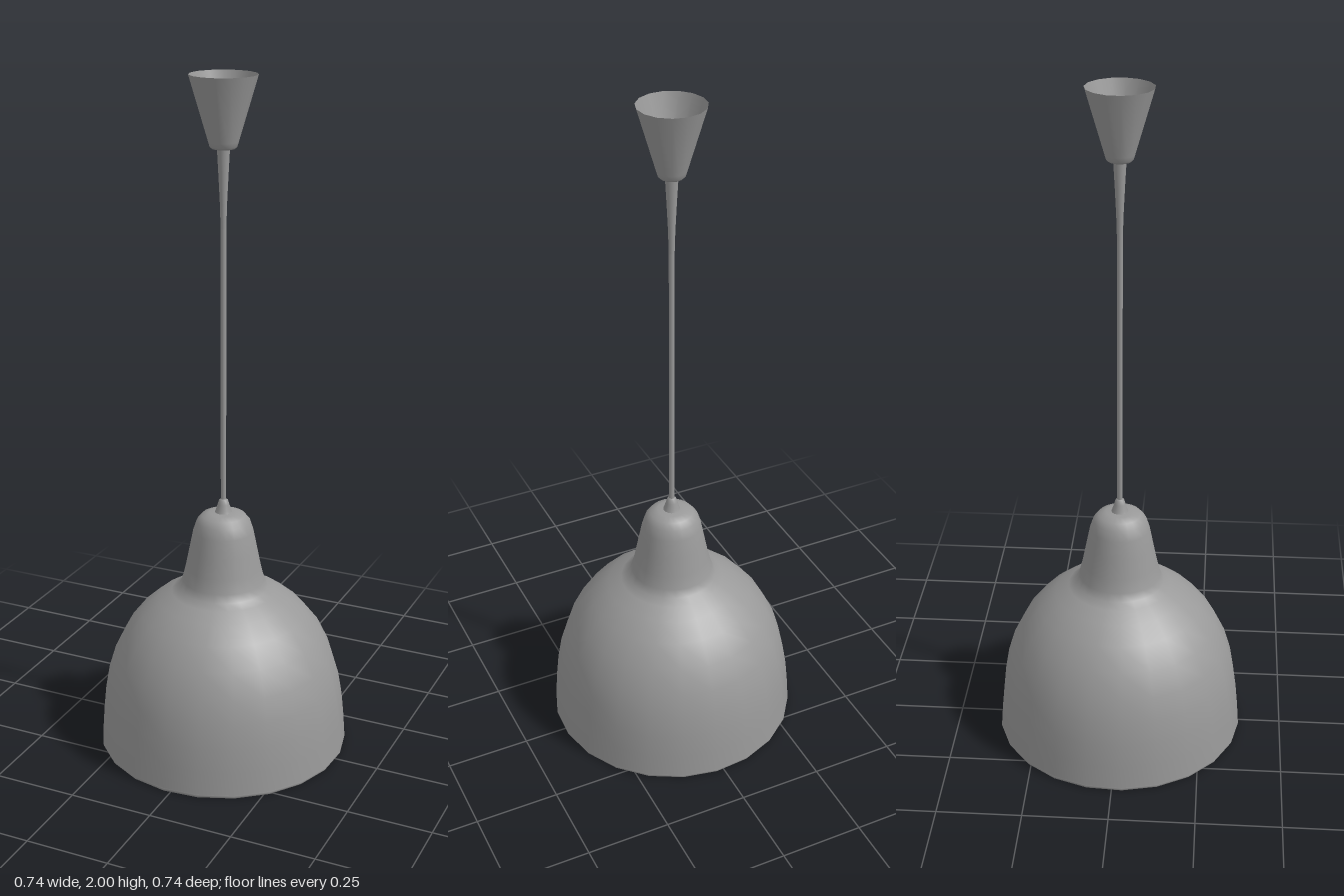
import * as THREE from 'three';

const material = new THREE.MeshStandardMaterial({ color: 0x999999, side: THREE.DoubleSide });

// Turned part from [radius, height] pairs
function turned(name, profile, sides, phase = 0) {
  const points = profile.map(([r, y]) => new THREE.Vector2(r, y));
  const mesh = new THREE.Mesh(new THREE.LatheGeometry(points, sides, phase), material);
  mesh.name = name;
  return mesh;
}

export function createModel() {
  const lamp = new THREE.Group();
  lamp.name = 'pendantLamp';

  // Bell shade: outer wall from the rim up to the neck
  const outer = [
    [0.372, 0.01], [0.367, 0.08], [0.36, 0.15], [0.348, 0.22], [0.327, 0.29],
    [0.293, 0.36], [0.246, 0.42], [0.195, 0.463], [0.155, 0.487], [0.133, 0.502],
    [0.122, 0.525], [0.112, 0.565], [0.1, 0.625], [0.089, 0.68], [0.079, 0.71],
    [0.064, 0.728], [0.042, 0.737], [0.018, 0.738],
  ];
  lamp.add(turned('shadeOuter', outer, 22, -0.06));

  // Inner wall follows the outer one at a small offset
  const inner = outer.map(([r, y]) => [Math.max(r - 0.01, 0.008), y - 0.006]).reverse();
  lamp.add(turned('shadeInner', inner, 22, -0.06));

  // Rolled rim joining both walls
  lamp.add(turned('shadeRim', [
    [0.362, 0.004], [0.364, 0], [0.37, 0], [0.373, 0.005], [0.372, 0.01],
  ], 22, -0.06));

  // Cord grip on top of the shade
  lamp.add(turned('cordGrip', [
    [0.026, 0.736], [0.022, 0.745], [0.017, 0.762], [0.013, 0.775], [0.008, 0.778],
  ], 14));

  // Cord with its tapered sleeve, open into the canopy
  lamp.add(turned('cord', [[0.008, 0.7], [0.008, 1.8], [0, 1.8]], 10));
  lamp.add(turned('cordSleeve', [
    [0.008, 1.58], [0.01, 1.65], [0.014, 1.73], [0.018, 1.802],
  ], 12));

  // Ceiling canopy: cup open at the top
  lamp.add(turned('canopy', [
    [0.018, 1.8], [0.032, 1.801], [0.038, 1.807], [0.042, 1.82], [0.046, 1.834],
    [0.095, 2],
  ], 15, Math.PI));

  // Bulb holder and slim bulb inside the shade
  lamp.add(turned('bulbHolder', [
    [0, 0.7], [0.03, 0.7], [0.035, 0.68], [0.035, 0.52], [0.03, 0.51], [0, 0.51],
  ], 14));
  lamp.add(turned('bulb', [
    [0.024, 0.51], [0.026, 0.44], [0.036, 0.38], [0.042, 0.32], [0.04, 0.26],
    [0.033, 0.21], [0.022, 0.18], [0.01, 0.168], [0, 0.166],
  ], 14));

  return lamp;
}
